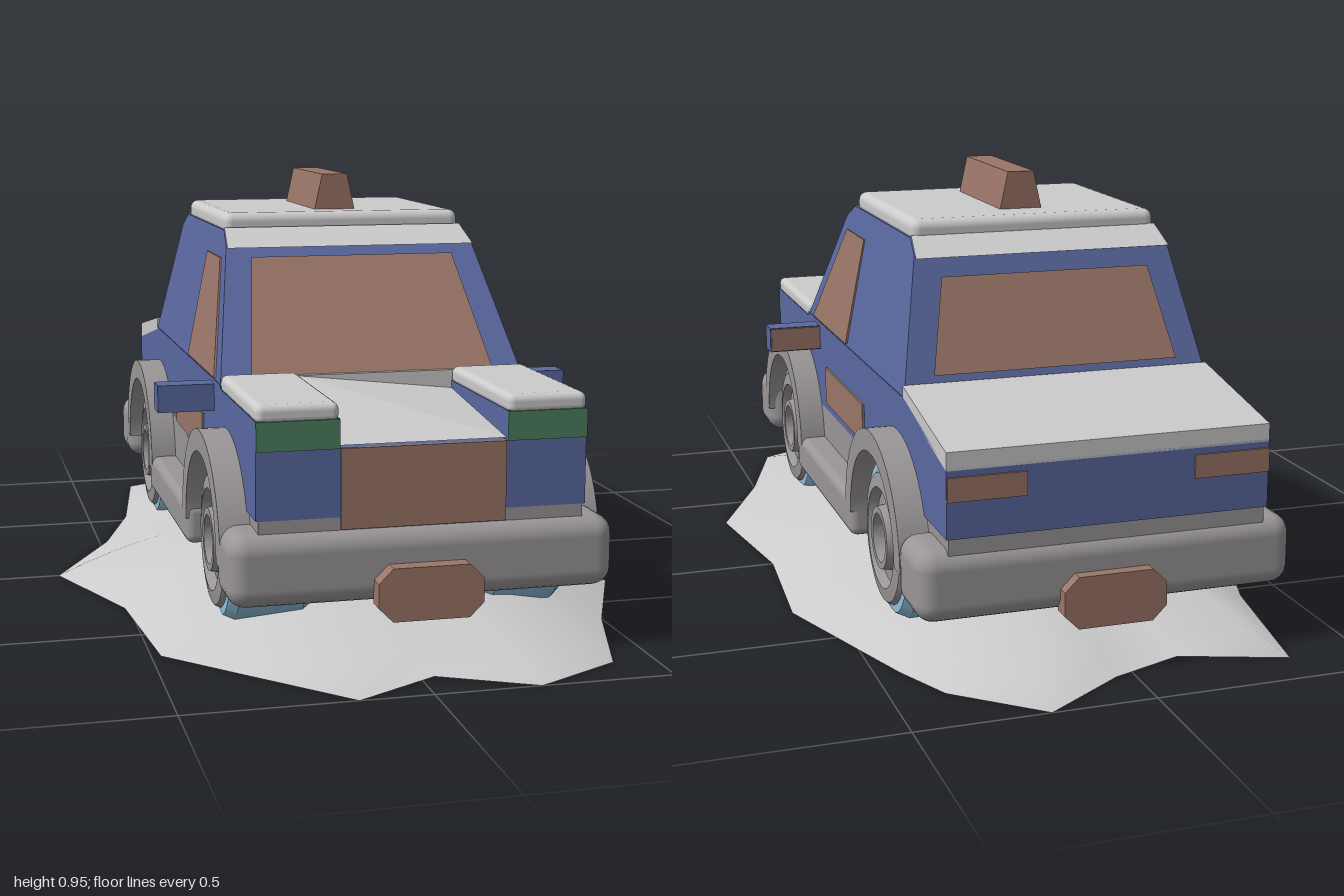
import * as THREE from 'three';
import { RoundedBoxGeometry } from 'three/addons/geometries/RoundedBoxGeometry.js';
import { toCreasedNormals } from 'three/addons/utils/BufferGeometryUtils.js';

const mat = (color, side = THREE.FrontSide) => new THREE.MeshStandardMaterial({ color, side });
const GREY = mat(0xcccccc), TRIM = mat(0x9a9698), BLUE = mat(0x5a68a0), BROWN = mat(0x9a7568);
const GREEN = mat(0x4c8060), TYRE = mat(0x8fc0de);
const PANE = mat(0x9a7568, THREE.DoubleSide), SHEET = mat(0xcccccc, THREE.DoubleSide);

const HALF = 0.345, FRONT_AXLE = 0.495, REAR_AXLE = -0.46, AXLE_Y = 0.2;

function add(parent, name, geo, material, x = 0, y = 0, z = 0) {
  const m = new THREE.Mesh(geo, material);
  m.name = name;
  m.position.set(x, y, z);
  parent.add(m);
  return m;
}
const box = (w, h, d, r = 0) => r ? new RoundedBoxGeometry(w, h, d, 3, r) : new THREE.BoxGeometry(w, h, d);
const outline = (pts) => new THREE.Shape(pts.map(([a, b]) => new THREE.Vector2(a, b)));

// Side profile (z, y) swept across the car's width
function sweep(shape, width) {
  const g = new THREE.ExtrudeGeometry(shape, { depth: width, bevelEnabled: false, curveSegments: 20 });
  return g.translate(0, 0, -width / 2).rotateY(-Math.PI / 2);
}
// Lean the sides inwards above the waistline
function taper(g) {
  const p = g.attributes.position;
  for (let i = 0; i < p.count; i++) {
    p.setX(i, p.getX(i) - Math.sign(p.getX(i)) * Math.max(0, p.getY(i) - 0.52) * 0.2);
  }
  g.computeVertexNormals();
  return g;
}
// Flat four-cornered sheet
function quad(a, b, c, d) {
  const g = new THREE.BufferGeometry();
  g.setAttribute('position', new THREE.Float32BufferAttribute([a, b, c, a, c, d].flat(), 3));
  g.computeVertexNormals();
  return g;
}
// Symmetric pane on the sloping front or rear of the cabin
function slopedPane(y0, w0, y1, w1, zAt) {
  return quad([-w0, y0, zAt(y0)], [w0, y0, zAt(y0)], [w1, y1, zAt(y1)], [-w1, y1, zAt(y1)]);
}

function makeWheel() {
  const wheel = new THREE.Group();
  wheel.name = 'wheel';
  const turn = (pts) => new THREE.LatheGeometry(pts.map(([r, a]) => new THREE.Vector2(r, a)), 32).rotateZ(-Math.PI / 2);
  const tyre = turn([[0, -0.095], [0.16, -0.095], [0.182, -0.07], [0.182, 0.07], [0.165, 0.09], [0.11, 0.09]]);
  const p = tyre.attributes.position;
  for (let i = 0; i < p.count; i++) p.setY(i, Math.max(p.getY(i), -0.15));
  add(wheel, 'tyre', toCreasedNormals(tyre, 0.7), TYRE);
  const rim = turn([[0.15, 0.085], [0.14, 0.1], [0.11, 0.105], [0.1, 0.085], [0.072, 0.085],
    [0.068, 0.108], [0.053, 0.108], [0.048, 0.06], [0, 0.06]]);
  add(wheel, 'rim', toCreasedNormals(rim, 0.7), TRIM);
  return wheel;
}

// Low mound with a ragged rim
function makeMound() {
  const rim = [[0.22, -1], [0.39, -0.85], [0.45, -0.72], [0.59, -0.33], [0.57, 0], [0.625, 0.34], [0.5, 0.62],
    [0.41, 0.9], [0.22, 1], [0.03, 0.9], [-0.15, 1], [-0.33, 0.81], [-0.48, 0.65], [-0.51, 0.3],
    [-0.63, 0], [-0.48, -0.29], [-0.4, -0.54], [-0.34, -0.9], [-0.12, -0.82], [0.04, -0.88]];
  const rings = 10, n = rim.length, pos = [], idx = [];
  for (let k = 0; k <= rings; k++) {
    const t = k / rings;
    for (const [x, z] of rim) pos.push(x * t, 0.125 * (1 - t ** 2.3), z * t);
  }
  for (let k = 0; k < rings; k++) for (let i = 0; i < n; i++) {
    const a = k * n + i, b = k * n + (i + 1) % n;
    idx.push(a, b, b + n, a, b + n, a + n);
  }
  const g = new THREE.BufferGeometry();
  g.setAttribute('position', new THREE.Float32BufferAttribute(pos, 3));
  g.setIndex(idx.reverse());
  g.computeVertexNormals();
  return g;
}

export function createModel() {
  const model = new THREE.Group();
  model.name = 'carOnMound';
  add(model, 'mound', makeMound(), SHEET);
  const car = new THREE.Group();
  car.name = 'car';
  car.position.x = 0.035;
  model.add(car);

  // Lower body with wheel cut-outs
  const body = new THREE.Shape();
  body.moveTo(0.8, 0.31);
  [[0.8, 0.45], [0.42, 0.45], [0.42, 0.52], [-0.52, 0.52], [-0.83, 0.455], [-0.83, 0.31]].forEach(([z, y]) => body.lineTo(z, y));
  for (const z of [REAR_AXLE, FRONT_AXLE]) body.absarc(z, AXLE_Y, 0.2, Math.PI - 0.582, 0.582, true);
  body.closePath();
  add(car, 'body', sweep(body, HALF * 2), BLUE);

  // Chassis, sills and bumpers
  add(car, 'chassis', box(0.37, 0.2, 1.5), TRIM, 0, 0.24, 0);
  add(car, 'floor', box(0.69, 0.15, 0.56), TRIM, 0, 0.255, 0.02);
  add(car, 'sills', box(0.81, 0.09, 0.58, 0.02), TRIM, 0, 0.185, 0.02);
  add(car, 'frontBumper', box(0.81, 0.15, 0.15, 0.04), TRIM, 0, 0.21, 0.752);
  add(car, 'rearBumper', box(0.81, 0.15, 0.17, 0.04), TRIM, 0, 0.21, -0.752);
  add(car, 'frontApron', box(0.68, 0.05, 0.12), TRIM, 0, 0.3, 0.738);
  add(car, 'rearApron', box(0.68, 0.05, 0.16), TRIM, 0, 0.3, -0.745);

  // Number plates without lettering
  const plateShape = outline([[-0.08, -0.055], [0.08, -0.055], [0.11, -0.025], [0.11, 0.025],
    [0.08, 0.055], [-0.08, 0.055], [-0.11, 0.025], [-0.11, -0.025]]);
  const plate = new THREE.ExtrudeGeometry(plateShape, { depth: 0.04, bevelEnabled: false });
  add(car, 'frontPlate', plate, BROWN, 0, 0.16, 0.823);
  add(car, 'rearPlate', plate, BROWN, 0, 0.16, -0.863);

  // Cabin, its windows and the roof
  const frontZ = (y) => 0.424 - (y - 0.52) * 0.786, rearZ = (y) => -0.524 + (y - 0.52) * 0.393;
  add(car, 'cabin', taper(sweep(outline([[0.42, 0.51], [0.2, 0.8], [0.14, 0.83], [-0.36, 0.83], [-0.41, 0.8],
    [-0.52, 0.51]]), HALF * 2)), BLUE);
  add(car, 'sideWindows', taper(sweep(outline([[0.35, 0.525], [0.17, 0.77], [0, 0.77], [0, 0.525]]), HALF * 2 + 0.006)), BROWN);
  add(car, 'windscreen', slopedPane(0.53, 0.275, 0.775, 0.235, frontZ), PANE);
  add(car, 'rearWindow', slopedPane(0.56, 0.275, 0.755, 0.235, rearZ), PANE);
  add(car, 'frontRoofEdge', slopedPane(0.795, 0.289, 0.835, 0.281, (y) => 0.206 - (y - 0.8) * 2), SHEET);
  add(car, 'rearRoofEdge', slopedPane(0.795, 0.289, 0.835, 0.281, (y) => -0.416 + (y - 0.8) * 1.67), SHEET);
  add(car, 'roof', box(0.56, 0.05, 0.49, 0.02), GREY, 0, 0.842, -0.115);
  const sign = outline([[-0.05, 0], [0.05, 0], [0.03, 0.09], [-0.03, 0.09]]);
  add(car, 'roofSign', new THREE.ExtrudeGeometry(sign, { depth: 0.31, bevelEnabled: false }), BROWN, 0, 0.86, -0.26);

  // Bonnet centre and boot lid
  add(car, 'bonnetCentre', quad([0.175, 0.455, 0.795], [0.175, 0.495, 0.42], [-0.175, 0.535, 0.42], [-0.175, 0.455, 0.795])
    .toNonIndexed(), SHEET);
  add(car, 'cowl', box(0.36, 0.09, 0.02), GREY, 0, 0.49, 0.415);
  add(car, 'bootLid', sweep(outline([[-0.51, 0.515], [-0.51, 0.545], [-0.83, 0.488], [-0.83, 0.45]]), HALF * 2), GREY);
  add(car, 'grille', box(0.345, 0.165, 0.01), BROWN, 0, 0.368, 0.8);

  // Parts mirrored on both sides
  for (const s of [-1, 1]) {
    add(car, 'bonnetSide', box(0.17, 0.062, 0.38), BLUE, s * 0.26, 0.48, 0.61);
    add(car, 'bonnetCap', box(0.17, 0.04, 0.385, 0.015), GREY, s * 0.26, 0.523, 0.61);
    add(car, 'headlight', box(0.17, 0.06, 0.01), GREEN, s * 0.26, 0.48, 0.8);
    add(car, 'tailLight', box(0.165, 0.05, 0.01), BROWN, s * 0.262, 0.412, -0.83);
    add(car, 'doorPanel', box(0.01, 0.09, 0.38), BROWN, s * HALF, 0.375, 0.02);
    add(car, 'mirrorHousing', box(0.13, 0.06, 0.056), BLUE, s * 0.405, 0.48, 0.317);
    add(car, 'mirrorGlass', box(0.125, 0.056, 0.006), BROWN, s * 0.405, 0.48, 0.288);

    for (const z of [FRONT_AXLE, REAR_AXLE]) {
      const arch = new THREE.Shape();
      arch.absarc(0, 0, 0.238, 0, Math.PI, false);
      arch.absarc(0, 0, 0.19, Math.PI, 0, true);
      arch.closePath();
      add(car, 'wheelArch', toCreasedNormals(sweep(arch, 0.12), 0.7), TRIM, s * 0.345, AXLE_Y, z);
      const wheel = makeWheel();
      wheel.position.set(s * 0.28, AXLE_Y, z);
      if (s < 0) wheel.rotation.y = Math.PI;
      car.add(wheel);
    }
  }
  return model;
}
